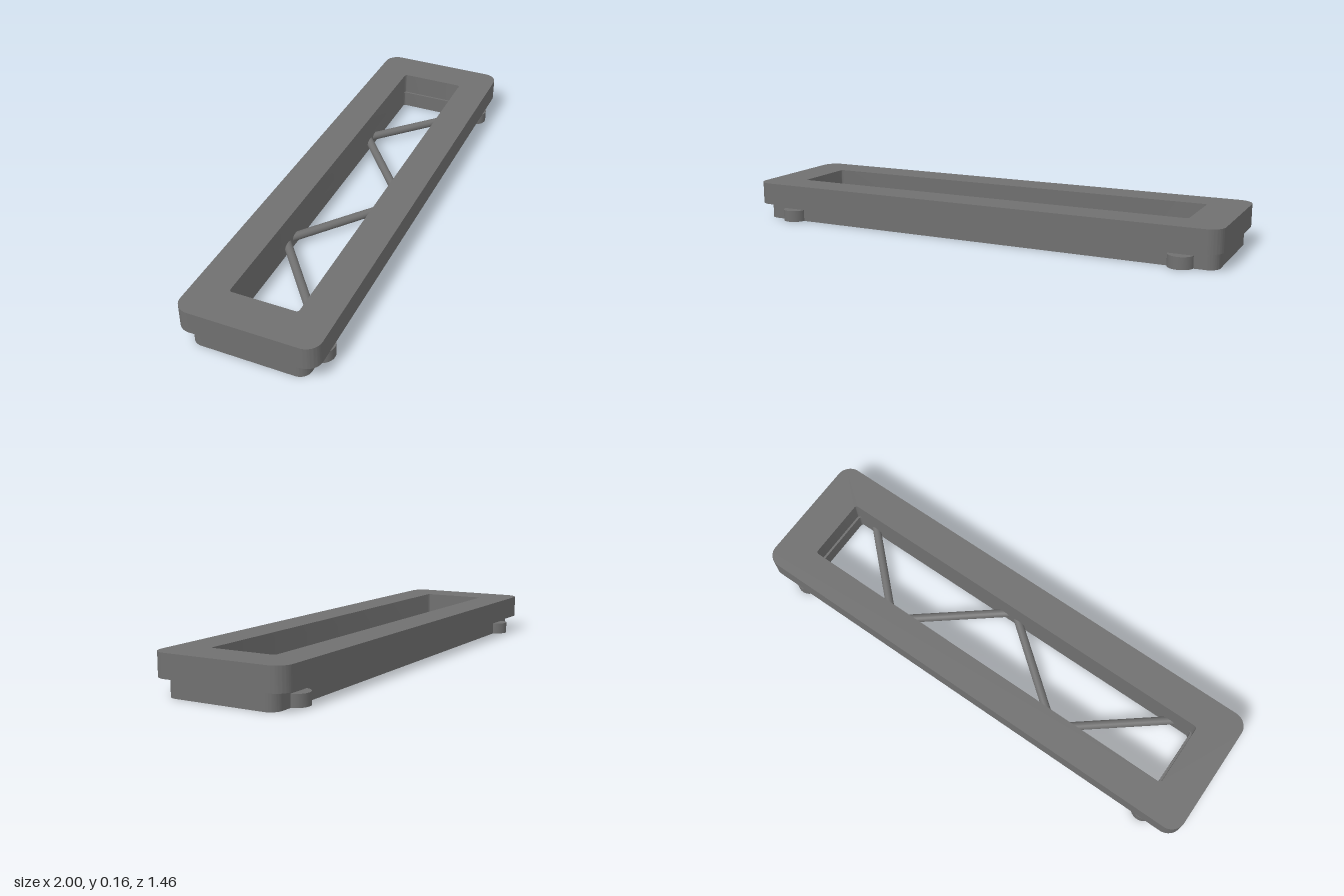
import * as THREE from 'three';
import { toCreasedNormals } from 'three/addons/utils/BufferGeometryUtils.js';

// Rounded rectangle outline from half sizes and a corner radius
function roundedRect(target, l, w, r) {
  target.absarc(l - r, w - r, r, 0, Math.PI / 2);
  target.absarc(-l + r, w - r, r, Math.PI / 2, Math.PI);
  target.absarc(-l + r, -w + r, r, Math.PI, Math.PI * 1.5);
  target.absarc(l - r, -w + r, r, Math.PI * 1.5, Math.PI * 2);
  target.closePath();
  return target;
}

// Flat ring with a rectangular opening, standing between y0 and y1
function ring(outer, hole, y0, y1) {
  const shape = roundedRect(new THREE.Shape(), ...outer);
  shape.holes.push(roundedRect(new THREE.Path(), ...hole));
  const geo = new THREE.ExtrudeGeometry(shape, { depth: y1 - y0, bevelEnabled: false, curveSegments: 10 });
  geo.rotateX(-Math.PI / 2).translate(0, y0, 0);
  return toCreasedNormals(geo, 0.6);
}

export function createModel() {
  const model = new THREE.Group();
  const frame = new THREE.Group();
  frame.name = 'frame';
  frame.rotation.y = Math.PI / 6; // the frame lies diagonally
  model.add(frame);

  const grey = new THREE.MeshStandardMaterial({ color: 0x707070 });
  grey.name = 'grey';
  const add = (name, geo) => {
    const mesh = new THREE.Mesh(geo, grey);
    mesh.name = name;
    frame.add(mesh);
    return mesh;
  };

  // Wide rim on top, narrower insert ring below
  add('upperRim', ring([1.02, 0.277, 0.06], [0.862, 0.137, 0.012], 0.07, 0.162));
  add('lowerRing', ring([1.0, 0.231, 0.045], [0.853, 0.137, 0.012], 0, 0.07));

  // Round snap bumps near the ends of both long sides
  for (const sx of [-1, 1]) {
    for (const sz of [-1, 1]) {
      add('snapBump', new THREE.CylinderGeometry(0.05, 0.05, 0.048, 32))
        .position.set(sx * 0.862, 0.0245, sz * 0.225);
    }
  }

  // Zigzag of round braces across the opening: start and end along the length
  const braces = [[-0.78, -0.38], [0.03, -0.37], [0.05, 0.45], [0.79, 0.455]];
  for (const [front, back] of braces) {
    const a = new THREE.Vector3(front, 0.035, 0.16);
    const b = new THREE.Vector3(back, 0.035, -0.16);
    const dir = b.clone().sub(a);
    const brace = add('brace', new THREE.CylinderGeometry(0.0175, 0.0175, dir.length(), 20));
    brace.position.copy(a).add(b).multiplyScalar(0.5);
    brace.quaternion.setFromUnitVectors(new THREE.Vector3(0, 1, 0), dir.normalize());
  }

  return model;
}
